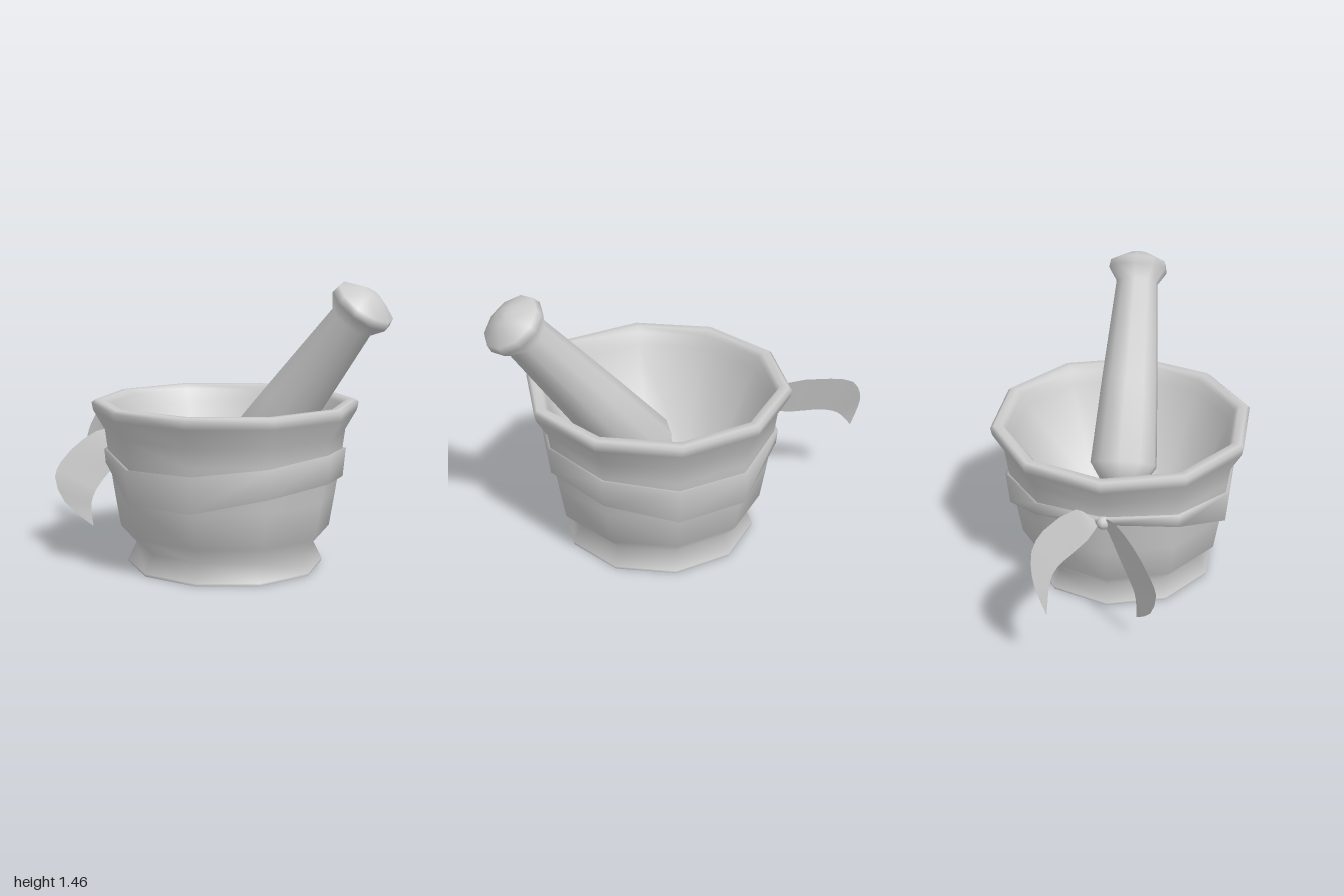
import * as THREE from 'three';

const SIDES = 10;
const TURN = THREE.MathUtils.degToRad(2);
const CENTER_X = 0.1;

function mesh(name, geometry) {
  const m = new THREE.Mesh(geometry, new THREE.MeshStandardMaterial({ color: 0xcccccc, side: THREE.DoubleSide }));
  m.name = name;
  return m;
}

// Ten-sided turned shape from [radius, height] pairs
function turned(name, profile) {
  const pts = profile.map(([r, y]) => new THREE.Vector2(r, y));
  return mesh(name, new THREE.LatheGeometry(pts, SIDES, Math.PI / 2 - TURN));
}

// Smooth skin over equal rows of points, closed into a ring if asked
function skin(name, rows, ring = false) {
  const n = rows[0].length;
  const index = [];
  for (let i = 0; i < (ring ? rows.length : rows.length - 1); i++) {
    for (let j = 0; j < n - 1; j++) {
      const a = i * n + j, c = ((i + 1) % rows.length) * n + j;
      index.push(a, a + 1, c, a + 1, c + 1, c);
    }
  }
  const g = new THREE.BufferGeometry();
  g.setAttribute('position', new THREE.Float32BufferAttribute(rows.flat(2), 3));
  g.setIndex(index);
  g.computeVertexNormals();
  return mesh(name, g);
}

// Band wrapped round the bowl: sags at front and back, narrows to the knot at -x
function band() {
  // [lower, upper] heights, from +x round to -x
  const heights = [[0.475, 0.62], [0.445, 0.592], [0.375, 0.557], [0.375, 0.55], [0.52, 0.59], [0.575, 0.615]];
  const rows = [];
  for (let i = 0; i < SIDES; i++) {
    const a = TURN + (i / SIDES) * Math.PI * 2;
    const [lo, hi] = heights[Math.min(i, SIDES - i)];
    const at = (r, y) => [CENTER_X + r * Math.cos(a), y, r * Math.sin(a)];
    const bulge = (y) => 0.595 + (y - 0.375) * 0.1;
    rows.push([at(0.56, lo + 0.005), at(bulge(lo), lo), at(bulge(hi), hi), at(0.585, hi - 0.005)]);
  }
  return skin('band', rows, true);
}

// Leaf-shaped loose end, given its two edges from the knot to the tip
function tail(name, edgeA, edgeB) {
  const curve = (pts) => new THREE.CatmullRomCurve3(pts.map((p) => new THREE.Vector3(...p)));
  const a = curve(edgeA), b = curve(edgeB);
  const rows = [];
  for (let i = 0; i <= 12; i++) {
    rows.push([a.getPoint(i / 12).toArray(), b.getPoint(i / 12).toArray()]);
  }
  return skin(name, rows);
}

export function createModel() {
  const group = new THREE.Group();
  group.name = 'mortarAndPestle';

  // Mortar: flared foot, rounded body, rolled rim and hollow tapering inside
  const bowl = turned('bowl', [
    [0.497, 0], [0.5, 0.015], [0.455, 0.105], [0.535, 0.19], [0.565, 0.37], [0.6, 0.6],
    [0.612, 0.69], [0.67, 0.79], [0.678, 0.83], [0.66, 0.845], [0.62, 0.845],
    [0.597, 0.82], [0.575, 0.76], [0.34, 0.24], [0, 0.21],
  ]);
  bowl.position.x = CENTER_X;
  const base = turned('base', [[0, 0], [0.497, 0]]);
  base.position.x = CENTER_X;
  group.add(bowl, base);

  // Pestle, leaning over the +x side of the rim; origin at the neck
  const pestle = turned('pestle', [
    [0, -1.14], [0.1, -1.12], [0.18, -1.0], [0.152, -0.54], [0.113, 0],
    [0.16, 0.07], [0.152, 0.113], [0.055, 0.162], [0, 0.166],
  ]);
  pestle.position.set(0.81, 1.275, 0);
  pestle.rotation.z = -0.663;
  group.add(pestle);

  // Band with its knot and two loose ends
  const knot = mesh('knot', new THREE.SphereGeometry(0.035, 8, 6));
  knot.position.set(-0.505, 0.585, -0.02);
  group.add(band(), knot);

  group.add(tail('backTail',
    [[-0.49, 0.61, -0.09], [-0.57, 0.695, -0.14], [-0.8, 0.72, -0.26], [-0.92, 0.685, -0.295], [-0.985, 0.59, -0.285], [-1, 0.5, -0.26], [-0.98, 0.37, -0.225]],
    [[-0.49, 0.57, -0.04], [-0.56, 0.51, -0.09], [-0.75, 0.51, -0.185], [-0.83, 0.5, -0.215], [-0.89, 0.47, -0.225], [-0.94, 0.42, -0.225], [-0.98, 0.37, -0.225]]));
  group.add(tail('frontTail',
    [[-0.49, 0.6, -0.02], [-0.6, 0.645, 0.05], [-0.7, 0.585, 0.15], [-0.78, 0.47, 0.24], [-0.8, 0.39, 0.27], [-0.76, 0.25, 0.24], [-0.63, 0.12, 0.16]],
    [[-0.49, 0.57, -0.02], [-0.505, 0.52, 0.01], [-0.56, 0.44, 0.06], [-0.61, 0.36, 0.11], [-0.64, 0.28, 0.15], [-0.645, 0.21, 0.16], [-0.63, 0.12, 0.16]]));

  return group;
}
